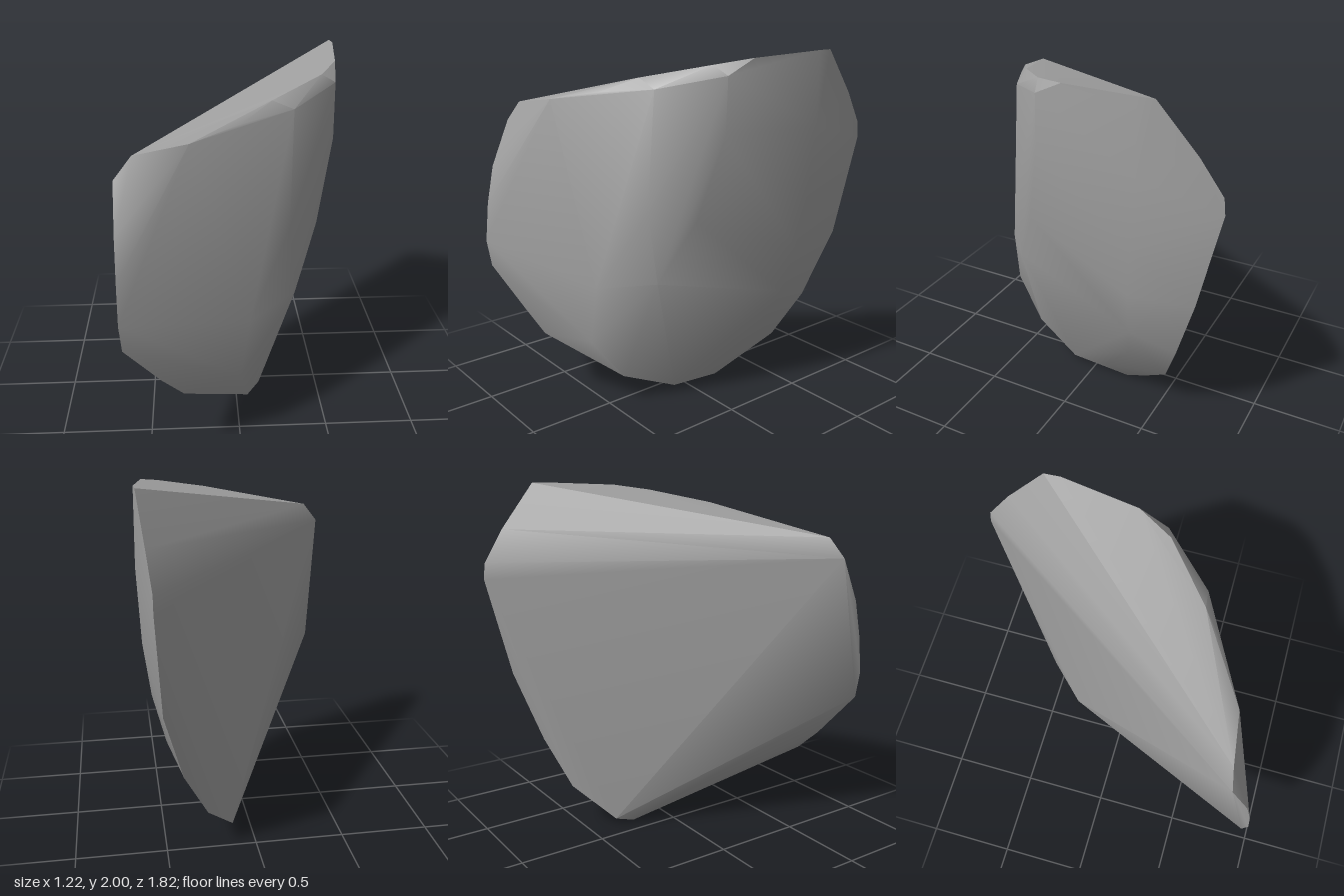
import * as THREE from 'three';
import { ConvexGeometry } from 'three/addons/geometries/ConvexGeometry.js';
import { toCreasedNormals } from 'three/addons/utils/BufferGeometryUtils.js';

const toVectors = (list) => list.map((p) => new THREE.Vector3(...p));

export function createModel() {
  const stone = new THREE.MeshStandardMaterial({ color: 0xa0a0a0 });
  stone.name = 'stone grey';

  // Rim of the flat broken back, from the peak down and around
  const backRim = [
    [0.6, 2, -0.57], [0.57, 1.75, -0.78], [0.55, 1.57, -0.9], [0.55, 1.48, -0.91],
    [0.515, 0.92, -0.78], [0.41, 0.52, -0.65], [0.274, 0.24, -0.54], [0.11, 0.04, -0.34],
    [0.11, 0, -0.22], [-0.3, 0.4, 0.6], [-0.42, 0.52, 0.78], [-0.6, 0.77, 0.89],
    [-0.61, 0.92, 0.91], [-0.61, 1.14, 0.885], [-0.61, 1.35, 0.84], [-0.61, 1.6, 0.73],
    [-0.52, 1.71, 0.7],
  ];
  // Upper edge of the front, from the right tip to the left
  const topEdge = [
    [0.605, 2, -0.48], [0.55, 1.98, -0.06], [0.45, 1.95, 0.13],
    [0.166, 1.88, 0.38], [-0.25, 1.75, 0.66],
    [0.53, 1.9, 0.1], [0.28, 1.83, 0.37], [0, 1.8, 0.52],
  ];
  // Bulging front and side faces
  const front = [
    [0.53, 1.6, 0.11], [0.44, 1.15, 0.22], [0.31, 0.8, 0.38], [0.27, 1.2, 0.41],
    [0.05, 0.75, 0.6], [0, 0.42, 0.61], [-0.306, 0.4, 0.73],
    [0.61, 1.6, -0.48], [0.59, 1.2, -0.45], [0.55, 0.9, -0.42],
    [0.48, 0.62, -0.4], [0.37, 0.4, -0.35],
  ];
  // Underside
  const base = [[0.05, 0.17, 0.43], [0.14, 0.05, 0.13], [0.17, 0.08, -0.1]];

  const hull = new ConvexGeometry(toVectors([...backRim, ...topEdge, ...front, ...base]));
  const shard = new THREE.Mesh(toCreasedNormals(hull, 0.65), stone);
  shard.name = 'rockShard';

  const group = new THREE.Group();
  group.name = 'rock';
  group.add(shard);
  return group;
}
